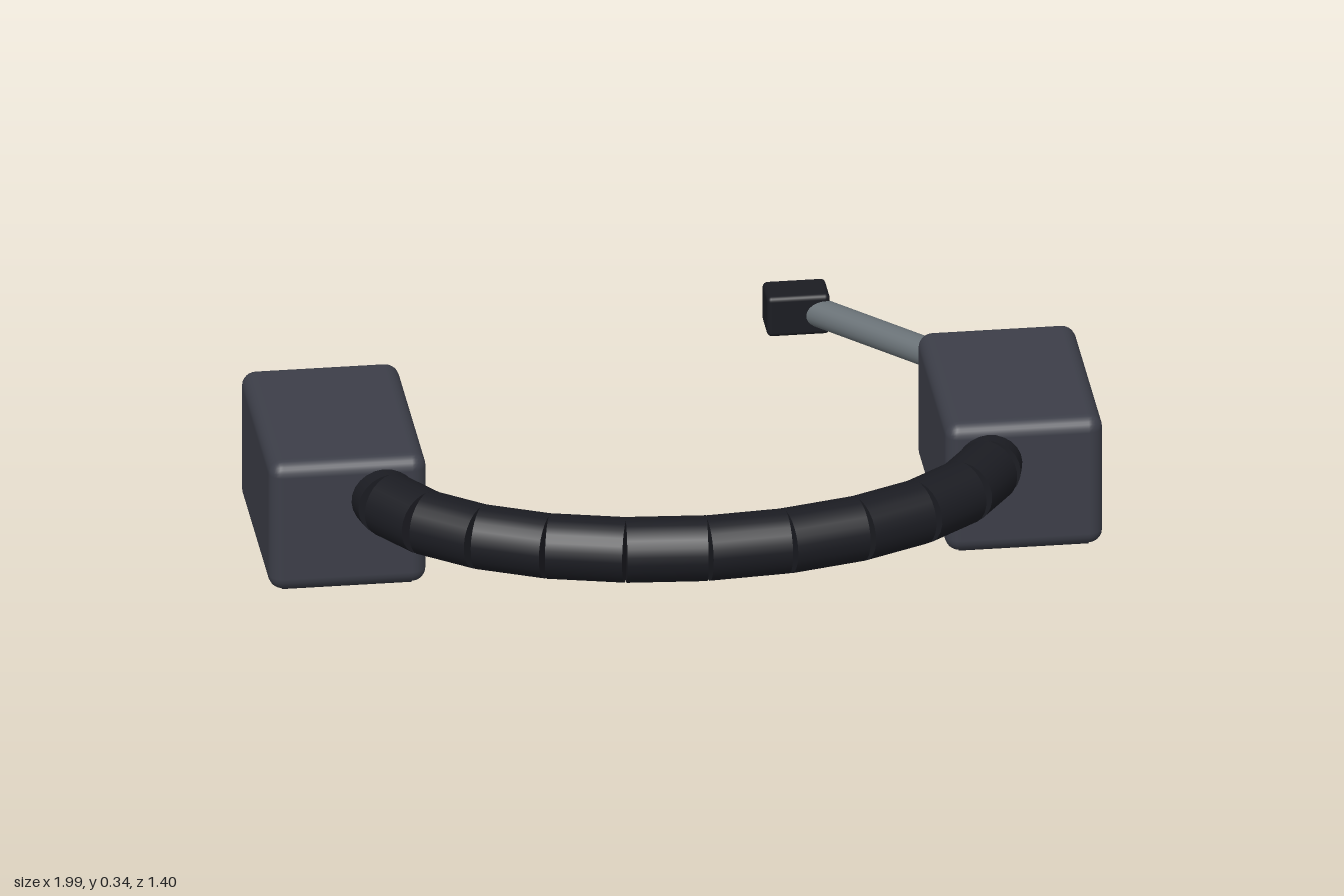
import * as THREE from 'three';
import { RoundedBoxGeometry } from 'three/addons/geometries/RoundedBoxGeometry.js';

const shell = new THREE.MeshStandardMaterial({ color: 0x3c3e48 });
const black = new THREE.MeshStandardMaterial({ color: 0x1b1c22 });
const steel = new THREE.MeshStandardMaterial({ color: 0x697176 });

function roundedBox(name, size, centre, radius, material) {
  const mesh = new THREE.Mesh(new RoundedBoxGeometry(...size, 3, radius), material);
  mesh.name = name;
  mesh.position.set(...centre);
  return mesh;
}

// Straight cylinder running between two points
function rod(name, from, to, radius, material) {
  const dir = to.clone().sub(from);
  const mesh = new THREE.Mesh(new THREE.CylinderGeometry(radius, radius, dir.length(), 24), material);
  mesh.name = name;
  mesh.position.copy(from).add(to).multiplyScalar(0.5);
  mesh.quaternion.setFromUnitVectors(new THREE.Vector3(0, 1, 0), dir.normalize());
  return mesh;
}

export function createModel() {
  const model = new THREE.Group();
  model.name = 'headset';

  // Ear cups, each with a dark pad on its underside
  for (const [side, s] of [['left', 1], ['right', -1]]) {
    const cup = new THREE.Group();
    cup.name = side + 'EarCup';
    cup.add(roundedBox('cupShell', [0.376, 0.335, 0.546], [s * 0.808, 0.1725, -0.017], 0.035, shell));
    const pad = new THREE.Mesh(new THREE.BoxGeometry(0.31, 0.03, 0.48), black);
    pad.name = 'earPad';
    pad.position.set(s * 0.808, 0.015, -0.017);
    cup.add(pad);
    model.add(cup);
  }

  // Headband: straight segments along half an ellipse
  const band = new THREE.Group();
  band.name = 'headband';
  const count = 12;
  const point = (i) => {
    const t = (i / count - 0.5) * Math.PI;
    return new THREE.Vector3(0.74 * Math.sin(t), 0.237, 0.17 + 0.45 * Math.cos(t));
  };
  for (let i = 0; i < count; i++) {
    band.add(rod('bandSegment', point(i), point(i + 1), 0.078, black));
  }
  model.add(band);

  // Microphone on its boom
  model.add(rod('microphoneBoom', new THREE.Vector3(0.755, 0.256, -0.22),
    new THREE.Vector3(0.402, 0.236, -0.655), 0.035, steel));
  model.add(roundedBox('microphone', [0.15, 0.104, 0.1], [0.38, 0.237, -0.655], 0.012, black));

  return model;
}
